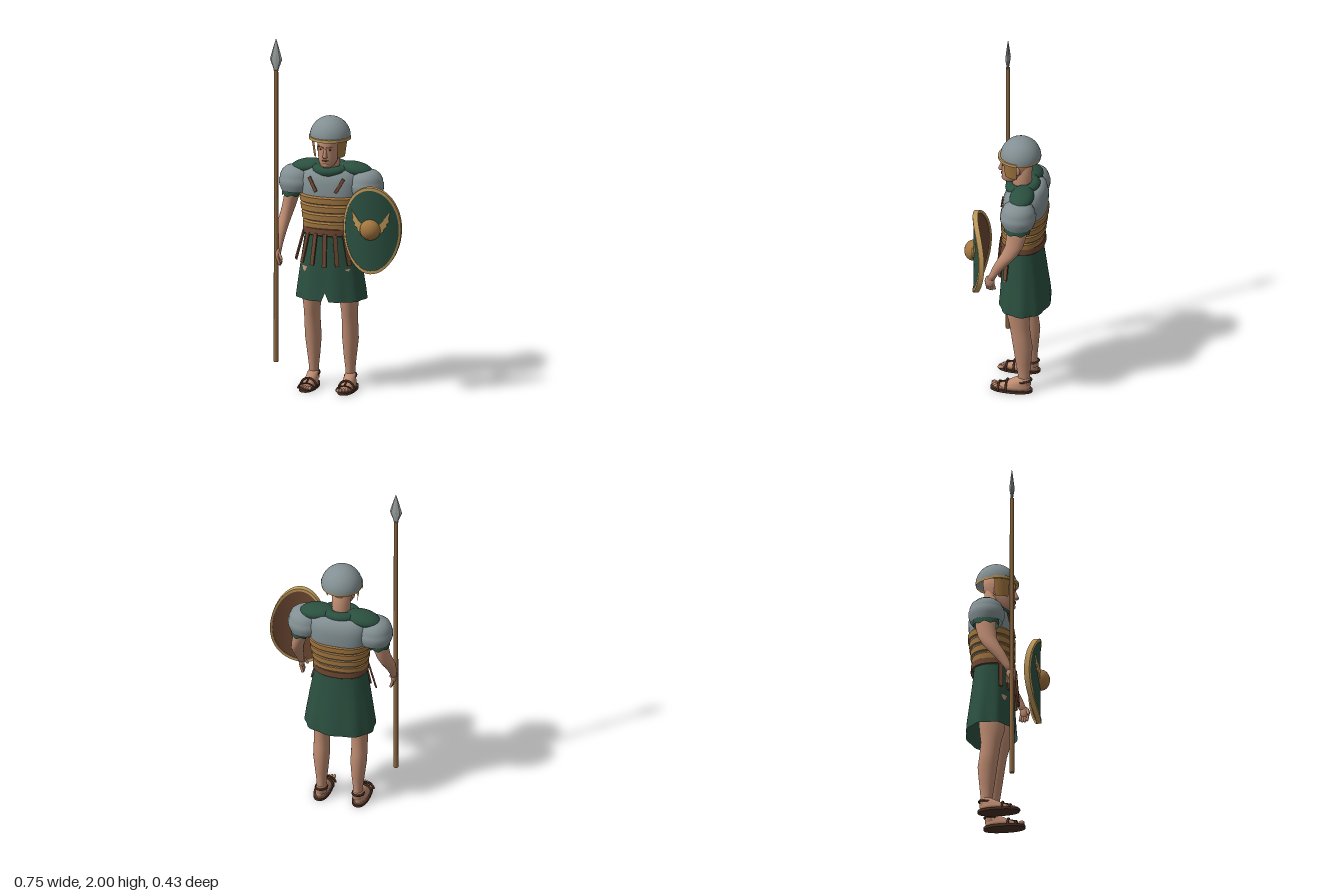
import * as THREE from 'three';
import { toCreasedNormals } from 'three/addons/utils/BufferGeometryUtils.js';

const mat = (name, color) => new THREE.MeshStandardMaterial({ name, color, side: THREE.DoubleSide });
const V = (x, y, z) => new THREE.Vector3(x, y, z);

// Closed horizontal rings [x, y, z, rx, rz], listed from bottom to top.
function loft(rings, { seg = 28, power = 2, caps = true, warp } = {}) {
  const pos = [], idx = [];
  const squash = (c) => Math.sign(c) * Math.abs(c) ** (2 / power);
  rings.forEach(([x, y, z, rx, rz], i) => {
    for (let j = 0; j < seg; j++) {
      const a = (j / seg) * Math.PI * 2;
      const p = V(x + rx * squash(Math.cos(a)), y, z + rz * squash(Math.sin(a)));
      if (warp) warp(p, a, i, x, z);
      pos.push(p.x, p.y, p.z);
      if (i + 1 < rings.length) {
        const k = (j + 1) % seg, b = i * seg, t = b + seg;
        idx.push(b + j, t + j, b + k, t + j, t + k, b + k);
      }
    }
  });
  if (caps) {
    const last = rings.length - 1, n = rings.length * seg;
    for (const r of [rings[0], rings[last]]) pos.push(r[0], r[1], r[2]);
    for (let j = 0; j < seg; j++) {
      const k = (j + 1) % seg;
      idx.push(n, j, k, n + 1, last * seg + k, last * seg + j);
    }
  }
  const g = new THREE.BufferGeometry();
  g.setAttribute('position', new THREE.Float32BufferAttribute(pos, 3));
  g.setIndex(idx);
  g.computeVertexNormals();
  return g;
}

const lathe = (pts, seg = 32) => new THREE.LatheGeometry(pts.map(([r, y]) => new THREE.Vector2(r, y)), seg);

// Flat strip from p to q, with its broad face turned towards n.
function strip(p, q, n, w, t) {
  const y = q.clone().sub(p), g = new THREE.BoxGeometry(w, y.length(), t);
  y.normalize();
  const x = y.clone().cross(n).normalize();
  const m = new THREE.Matrix4().makeBasis(x, y, x.clone().cross(y));
  return g.applyMatrix4(m.setPosition(p.clone().add(q).multiplyScalar(0.5)));
}

function rod(p, q, r) {
  const d = q.clone().sub(p), g = new THREE.CapsuleGeometry(r, d.length(), 3, 8);
  g.applyQuaternion(new THREE.Quaternion().setFromUnitVectors(V(0, 1, 0), d.normalize()));
  return g.translate((p.x + q.x) / 2, (p.y + q.y) / 2, (p.z + q.z) / 2);
}

const ball = (x, y, z, rx, ry, rz) => new THREE.SphereGeometry(1, 20, 14).scale(rx, ry, rz).translate(x, y, z);

export function createModel() {
  const steel = mat('steel', 0x839093), green = mat('green cloth', 0x2b5040), skin = mat('skin', 0xbc8a70);
  const bronze = mat('bronze', 0xa27640), gold = mat('gold', 0xbf995a), leather = mat('leather', 0x6a4631);
  const dark = mat('dark leather', 0x4a2f22), wood = mat('wood', 0x8c6840), tip = mat('spear steel', 0x9aa19f);
  const model = new THREE.Group();
  const group = (name, parent = model) => {
    const g = new THREE.Group();
    g.name = name;
    parent.add(g);
    return g;
  };
  const add = (parent, name, geo, m) => {
    const mesh = new THREE.Mesh(geo, m);
    mesh.name = name;
    parent.add(mesh);
    return mesh;
  };

  const body = group('soldier');
  body.position.x = -0.07;

  // Cuirass with four waist bands
  add(body, 'cuirass', loft([
    [0, 0.9, -0.06, 0.14, 0.105], [0, 1.0, -0.064, 0.15, 0.113], [0, 1.1, -0.07, 0.168, 0.119],
    [0, 1.18, -0.072, 0.172, 0.12], [0, 1.23, -0.075, 0.16, 0.105], [0, 1.255, -0.075, 0.12, 0.08],
  ], { power: 2.5, seg: 40 }), steel);
  for (let i = 0; i < 4; i++) {
    const y = 0.918 + i * 0.048, rx = 0.153 + i * 0.007, rz = 0.116 + i * 0.0035, z = -0.058 - i * 0.003;
    add(body, 'waistBand', toCreasedNormals(loft([
      [0, y, z, rx - 0.008, rz - 0.008], [0, y + 0.004, z, rx, rz],
      [0, y + 0.036, z, rx + 0.002, rz + 0.002], [0, y + 0.046, z, rx - 0.006, rz - 0.006],
    ], { power: 2.4, seg: 40, caps: false }), 0.6), bronze);
  }

  // Skirt with folds and a small front slit
  add(body, 'skirt', loft([
    [0, 0.515, -0.07, 0.196, 0.138], [0, 0.57, -0.07, 0.19, 0.134], [0, 0.7, -0.065, 0.172, 0.122],
    [0, 0.82, -0.06, 0.153, 0.112], [0, 0.92, -0.058, 0.14, 0.105],
  ], { seg: 72, caps: false, power: 2.2, warp: (p, a, i, cx, cz) => {
    const f = 1 + 0.028 * Math.cos(9 * a + 0.6) * (1 - i / 4);
    p.x = cx + (p.x - cx) * f;
    p.z = cz + (p.z - cz) * f;
    if (i === 0 && Math.abs(a - Math.PI / 2) < 0.05) p.y += 0.05;
  } }), green);
  add(body, 'belt', toCreasedNormals(loft([
    [0, 0.885, -0.058, 0.15, 0.118], [0, 0.89, -0.058, 0.155, 0.123],
    [0, 0.925, -0.058, 0.153, 0.121], [0, 0.93, -0.058, 0.147, 0.114],
  ], { seg: 40, caps: false, power: 2.3 }), 0.6), leather);
  for (let i = -3; i <= 3; i++) {
    const a = i * 0.36, s = Math.sin(a), c = Math.cos(a);
    add(body, 'beltStrap', strip(V(s * 0.155, 0.9, -0.055 + c * 0.122),
      V(s * 0.205, 0.715 + Math.abs(i) * 0.006, -0.055 + c * 0.136), V(s, 0, c), 0.024, 0.009), leather);
  }

  // Neck and head
  add(body, 'neck', loft([[0, 1.2, -0.06, 0.06, 0.06], [0, 1.28, -0.05, 0.05, 0.054],
    [0, 1.38, -0.05, 0.052, 0.058]]), skin);
  const head = group('head', body);
  add(head, 'skull', loft([
    [0, 1.272, 0.025, 0.022, 0.022], [0, 1.283, 0.018, 0.038, 0.04], [0, 1.31, 0.0, 0.052, 0.062],
    [0, 1.35, -0.018, 0.06, 0.079], [0, 1.385, -0.024, 0.061, 0.085], [0, 1.405, -0.024, 0.063, 0.089],
    [0, 1.46, -0.03, 0.062, 0.088],
  ]), skin);
  add(head, 'nose', loft([[0, 1.336, 0.064, 0.014, 0.018], [0, 1.343, 0.064, 0.013, 0.02],
    [0, 1.385, 0.058, 0.006, 0.008]], { seg: 10 }), skin);
  add(head, 'lips', ball(0, 1.317, 0.06, 0.02, 0.005, 0.008), leather);
  add(head, 'chin', ball(0, 1.29, 0.048, 0.02, 0.015, 0.016), skin);
  for (const s of [-1, 1]) {
    add(head, 'eye', ball(s * 0.024, 1.378, 0.052, 0.01, 0.004, 0.004), dark);
    add(head, 'brow', strip(V(s * 0.008, 1.39, 0.061), V(s * 0.038, 1.393, 0.046), V(s * 0.4, 0, 1), 0.006, 0.008), leather);
    add(head, 'ear', ball(s * 0.063, 1.365, -0.035, 0.009, 0.026, 0.017), skin);
  }

  // Helmet: dome, rim, front brim and cheek guards
  const helmet = group('helmet', body);
  helmet.position.set(0, 1.432, -0.043);
  add(helmet, 'dome', new THREE.SphereGeometry(0.113, 32, 14, 0, Math.PI * 2, 0, Math.PI / 2), steel);
  add(helmet, 'rim', new THREE.CylinderGeometry(0.112, 0.11, 0.014, 32, 1, true).translate(0, -0.006, 0), gold);
  const brim = new THREE.Shape();
  brim.absellipse(0, 0, 0.117, 0.125, 0, Math.PI, false);
  brim.absellipse(0, 0, 0.104, 0.1, Math.PI, 0, true);
  add(helmet, 'brim', new THREE.ExtrudeGeometry(brim, { depth: 0.016, bevelEnabled: false, curveSegments: 20 })
    .rotateX(Math.PI / 2).translate(0, 0.006, 0), gold);
  for (const s of [-1, 1]) {
    add(helmet, 'cheekGuard', new THREE.CylinderGeometry(0.1, 0.086, 0.1, 5, 1, true, 0.75, 0.9)
      .translate(0, -0.055, 0.012), bronze).scale.x = s;
  }

  // Scarf around the neck and over the shoulders
  add(body, 'scarfCollar', new THREE.TorusGeometry(0.068, 0.03, 10, 28).rotateX(Math.PI / 2 + 0.15)
    .scale(1.1, 0.9, 1).translate(0, 1.25, -0.055), green);

  for (const s of [-1, 1]) {
    const side = group(s > 0 ? 'leftSide' : 'rightSide', body);
    side.scale.x = s;
    add(side, 'scarfDrape', ball(0, 0, 0, 0.1, 0.04, 0.067).rotateZ(-0.12).translate(0.13, 1.247, -0.075), green);
    add(side, 'chestStrap', strip(V(0.098, 1.212, 0.037), V(0.055, 1.135, 0.053), V(0, 0, 1), 0.018, 0.009), leather);

    // Shoulder guard, sleeve and arm
    add(side, 'shoulderGuard', toCreasedNormals(lathe([[0.086, 1.108], [0.098, 1.14], [0.1, 1.17], [0.095, 1.178],
      [0.093, 1.195], [0.082, 1.22], [0.06, 1.239], [0.03, 1.248], [0, 1.25]], 28), 0.7).translate(0.197, 0, -0.068), steel);
    add(side, 'sleeve', loft([[0.222, 1.082, -0.068, 0.058, 0.072], [0.218, 1.1, -0.068, 0.06, 0.074],
      [0.205, 1.17, -0.068, 0.055, 0.065]], { seg: 36, caps: false, warp: (p, a, i) => {
      if (i === 0) p.y += 0.006 * Math.cos(7 * a);
    } }), green);
    add(side, 'arm', loft([
      [0.264, 0.785, 0.072, 0.017, 0.022], [0.264, 0.815, 0.056, 0.019, 0.023], [0.264, 0.86, 0.03, 0.025, 0.032],
      [0.262, 0.905, 0.0, 0.031, 0.04], [0.256, 0.95, -0.032, 0.034, 0.046], [0.244, 1.0, -0.056, 0.036, 0.05],
      [0.228, 1.07, -0.067, 0.041, 0.057], [0.215, 1.16, -0.068, 0.042, 0.055],
    ]), skin);
    const hand = group('hand', side);
    add(hand, 'palm', ball(0.262, 0.77, 0.078, 0.015, 0.036, 0.028), skin);
    for (let f = 0; f < 4; f++) {
      const z = 0.096 - f * 0.013;
      add(hand, 'finger', rod(V(0.262, 0.752, z), V(0.252, 0.712 + Math.abs(f - 1.4) * 0.006, z - 0.004), 0.0075), skin);
    }
    add(hand, 'thumb', rod(V(0.255, 0.785, 0.093), V(0.238, 0.752, 0.102), 0.008), skin);

    // Leg, foot and sandal
    add(side, 'leg', loft([
      [0.104, 0.04, -0.085, 0.029, 0.036], [0.104, 0.1, -0.081, 0.026, 0.033], [0.104, 0.18, -0.079, 0.035, 0.043],
      [0.106, 0.28, -0.076, 0.045, 0.054], [0.107, 0.35, -0.066, 0.044, 0.054], [0.107, 0.43, -0.056, 0.044, 0.056],
      [0.106, 0.5, -0.05, 0.05, 0.07], [0.095, 0.7, -0.05, 0.068, 0.085],
    ]), skin);
    add(side, 'foot', loft([
      [0.109, 0.015, -0.02, 0.04, 0.1], [0.109, 0.033, -0.028, 0.038, 0.09], [0.107, 0.055, -0.052, 0.033, 0.064],
      [0.105, 0.085, -0.082, 0.027, 0.036],
    ]), skin);
    for (let t = 0; t < 5; t++) {
      add(side, 'toe', ball(0.08 + t * 0.0145, 0.022, 0.086 - t * t * 0.0022, 0.009 - t * 0.0005, 0.01, 0.018), skin);
    }
    add(side, 'sole', toCreasedNormals(loft([[0.11, 0, -0.013, 0.047, 0.117], [0.11, 0.015, -0.013, 0.047, 0.117]],
      { power: 2.3 }), 0.6), dark);
    for (const [z, r, h] of [[0.055, 0.046, 0.042], [0.012, 0.046, 0.06]]) {
      add(side, 'sandalStrap', new THREE.TorusGeometry(1, 0.13, 6, 18, Math.PI).scale(r, h - 0.01, 0.05)
        .translate(0.109, 0.01, z), dark);
    }
    add(side, 'ankleStrap', new THREE.TorusGeometry(1, 0.13, 6, 24).rotateX(Math.PI / 2 + 0.15)
      .scale(0.032, 0.05, 0.044).translate(0.105, 0.066, -0.08), dark);
    add(side, 'instepStrap', rod(V(0.109, 0.064, -0.032), V(0.109, 0.045, 0.055), 0.005), dark);
  }

  // Spear
  const spear = group('spear');
  spear.position.set(-0.343, 0, 0.084);
  add(spear, 'shaft', new THREE.CylinderGeometry(0.012, 0.013, 1.66, 10).translate(0, 0.99, 0), wood);
  add(spear, 'spearHead', toCreasedNormals(lathe([[0.014, 1.815], [0.016, 1.83], [0.035, 1.88], [0.017, 1.945],
    [0, 2]], 8).scale(1, 1, 0.42), 0.3), tip);

  // Oval shield, bent around its upright axis
  const shield = group('shield');
  shield.position.set(0.216, 0.967, 0.15);
  shield.rotation.y = 0.07;
  const bend = (g) => {
    const p = g.attributes.position;
    for (let i = 0; i < p.count; i++) p.setZ(i, p.getZ(i) - 2.1 * p.getX(i) ** 2);
    return toCreasedNormals(g, 0.6);
  };
  const oval = (pts) => bend(lathe(pts, 48).rotateX(Math.PI / 2).scale(0.162, 0.246, 1));
  add(shield, 'shieldFace', oval([[0.94, 0.012], [0.75, 0.012], [0.5, 0.012], [0.25, 0.012], [0, 0.012]]), green);
  add(shield, 'shieldBack', oval([[0, -0.008], [0.25, -0.008], [0.5, -0.008], [0.75, -0.008], [0.94, -0.008]]), leather);
  add(shield, 'shieldRim', oval([[0.93, -0.008], [0.93, -0.012], [1, -0.012], [1, 0.016], [0.93, 0.016], [0.93, 0.012]]), gold);
  add(shield, 'boss', ball(0, 0.006, 0.014, 0.058, 0.058, 0.05), bronze);
  const wing = new THREE.Shape([[0.03, 0.02], [0.066, 0.055], [0.11, 0.112], [0.1, 0.07], [0.104, 0.052], [0.09, 0.04],
    [0.092, 0.024], [0.076, 0.014], [0.072, -0.004], [0.04, -0.018]].map(([x, y]) => new THREE.Vector2(x, y)));
  for (const s of [-1, 1]) {
    add(shield, 'wing', bend(new THREE.ExtrudeGeometry(wing, { depth: 0.007, bevelEnabled: false })
      .translate(0, 0, 0.014)), gold).scale.x = s;
  }
  return model;
}
